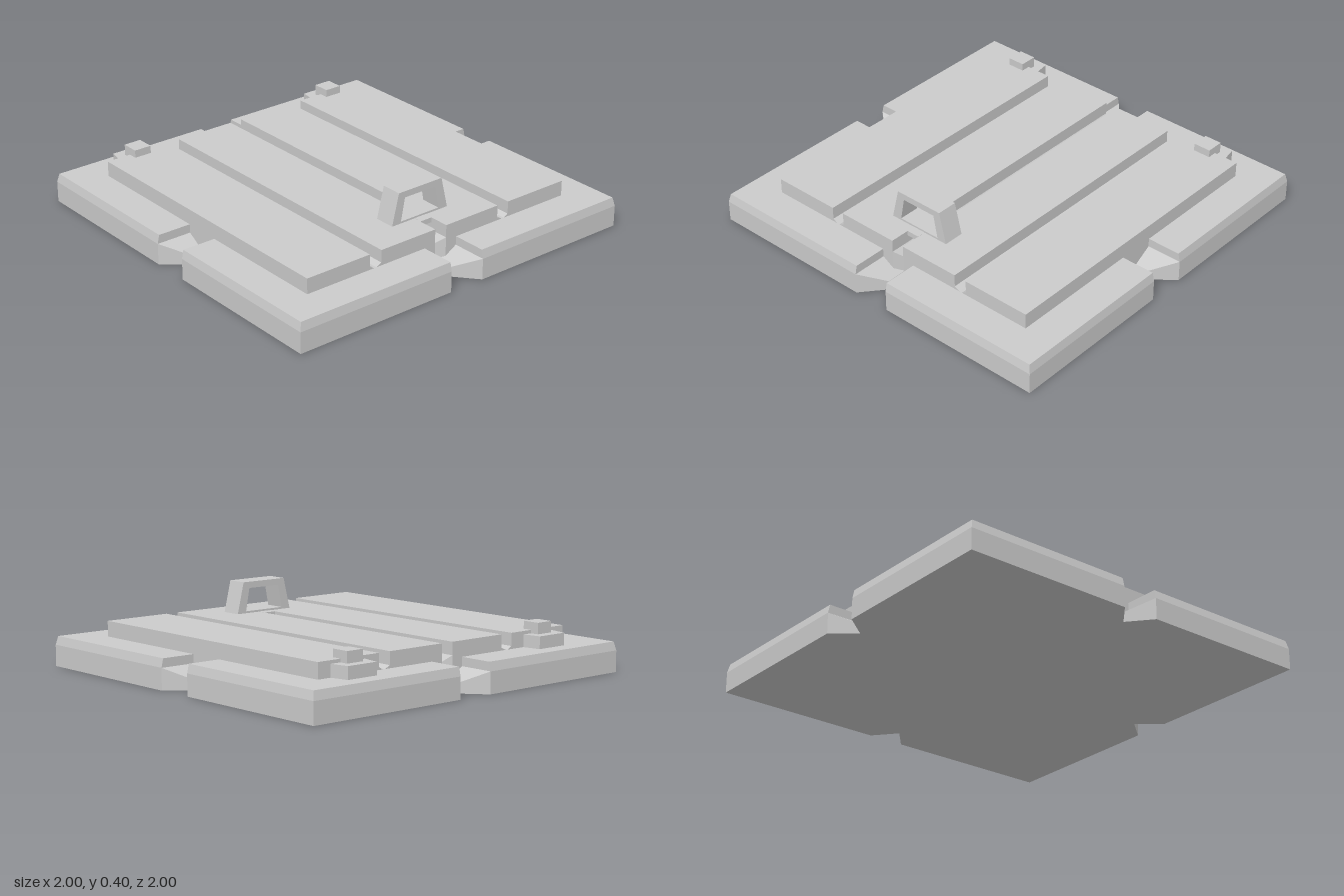
import * as THREE from 'three';

const material = new THREE.MeshStandardMaterial({ color: 0xcccccc, flatShading: true });

// Extrude an outline along z between z0 and z1
function prism(points, z0, z1, hole) {
  const toVectors = (list) => list.map(([x, y]) => new THREE.Vector2(x, y));
  const shape = new THREE.Shape(toVectors(points));
  if (hole) shape.holes.push(new THREE.Path(toVectors(hole)));
  return new THREE.ExtrudeGeometry(shape, { depth: z1 - z0, bevelEnabled: false }).translate(0, 0, z0);
}

function box(x0, x1, y0, y1, z0, z1) {
  return new THREE.BoxGeometry(x1 - x0, y1 - y0, z1 - z0)
    .translate((x0 + x1) / 2, (y0 + y1) / 2, (z0 + z1) / 2);
}

// Move every vertex by a rule
function reshape(geometry, rule) {
  const pos = geometry.attributes.position;
  const v = new THREE.Vector3();
  for (let i = 0; i < pos.count; i++) {
    v.fromBufferAttribute(pos, i);
    rule(v);
    pos.setXYZ(i, v.x, v.y, v.z);
  }
  geometry.computeVertexNormals();
  return geometry;
}

// Mirror in x while keeping the faces outward
function mirrorX(geometry) {
  const g = geometry.index ? geometry.toNonIndexed() : geometry.clone();
  const pos = g.attributes.position;
  const p = pos.array;
  for (let i = 0; i < pos.count; i++) p[i * 3] *= -1;
  for (let i = 0; i < p.length; i += 9) {
    for (let k = 0; k < 3; k++) [p[i + k], p[i + 3 + k]] = [p[i + 3 + k], p[i + k]];
  }
  g.computeVertexNormals();
  return g;
}

export function createModel() {
  const model = new THREE.Group();
  const add = (name, geometry, turn = 0) => {
    const mesh = new THREE.Mesh(geometry, material);
    mesh.name = name;
    mesh.rotation.y = turn;
    model.add(mesh);
  };
  const addPair = (name, geometry, turn = 0) => {
    add(name + 'Left', geometry, turn);
    add(name + 'Right', mirrorX(geometry), turn);
  };

  // Base corner block, with its two outer sides leaning in at the top
  const corner = reshape(new THREE.BoxGeometry(0.9, 2, 0.9, 1, 2, 1), (v) => {
    const top = v.y > 0.5;
    v.x += 0.55;
    v.z += 0.55;
    if (top && v.x > 0.9) v.x = 0.99;
    if (top && v.z > 0.9) v.z = 0.99;
    v.y = top ? 0.155 : v.y > -0.5 ? 0.11 : 0;
  });

  // Half of a V-floored channel, pointed inwards at the outer edge
  const channel = reshape(
    prism([[0, 0], [0.1, 0], [0.1, 0.11], [0, 0.05]], 0, 1),
    (v) => { if (v.z > 0.5) v.z = 0.88 + 1.2 * v.x; });

  for (let i = 0; i < 4; i++) {
    add('baseCorner', corner, i * Math.PI / 2);
    addPair('baseChannel', channel, i * Math.PI / 2);
  }

  // Planks, flared at the foot where they face the side gaps
  addPair('outerPlank', prism([
    [0.81, 0.04], [0.81, 0.235], [0.44, 0.235], [0.44, 0.17], [0.415, 0.155], [0.415, 0.04],
  ], -0.81, 0.81));
  addPair('innerPlank', prism([
    [0.37, 0.235], [0.035, 0.235], [0.035, 0.04], [0.4, 0.04], [0.4, 0.155], [0.37, 0.17],
  ], -0.81, 0.81));

  // Centre groove floor, notched at both ends
  addPair('grooveFloor', reshape(
    prism([[0, 0.04], [0.035, 0.04], [0.035, 0.17], [0, 0.135]], -0.81, 0.81),
    (v) => { if (v.x < 0.01) v.z = Math.sign(v.z) * 0.77; }));

  // Handle and the plate bridging the groove beneath it
  add('handlePlate', box(-0.035, 0.035, 0.21, 0.236, 0.5, 0.705));
  add('handle', prism(
    [[-0.175, 0.235], [0.175, 0.235], [0.135, 0.398], [-0.135, 0.398]], 0.55, 0.66,
    [[-0.12, 0.245], [-0.097, 0.365], [0.097, 0.365], [0.12, 0.245]]));

  // Rear latches: tapered bracket and square knob
  const bracket = prism(
    [[0.525, 0.8], [0.735, 0.8], [0.715, 0.905], [0.54, 0.905]], 0.15, 0.218)
    .rotateX(-Math.PI / 2);
  addPair('latchBracket', bracket);
  addPair('latchKnob', box(0.58, 0.675, 0.21, 0.275, -0.855, -0.76));

  return model;
}
